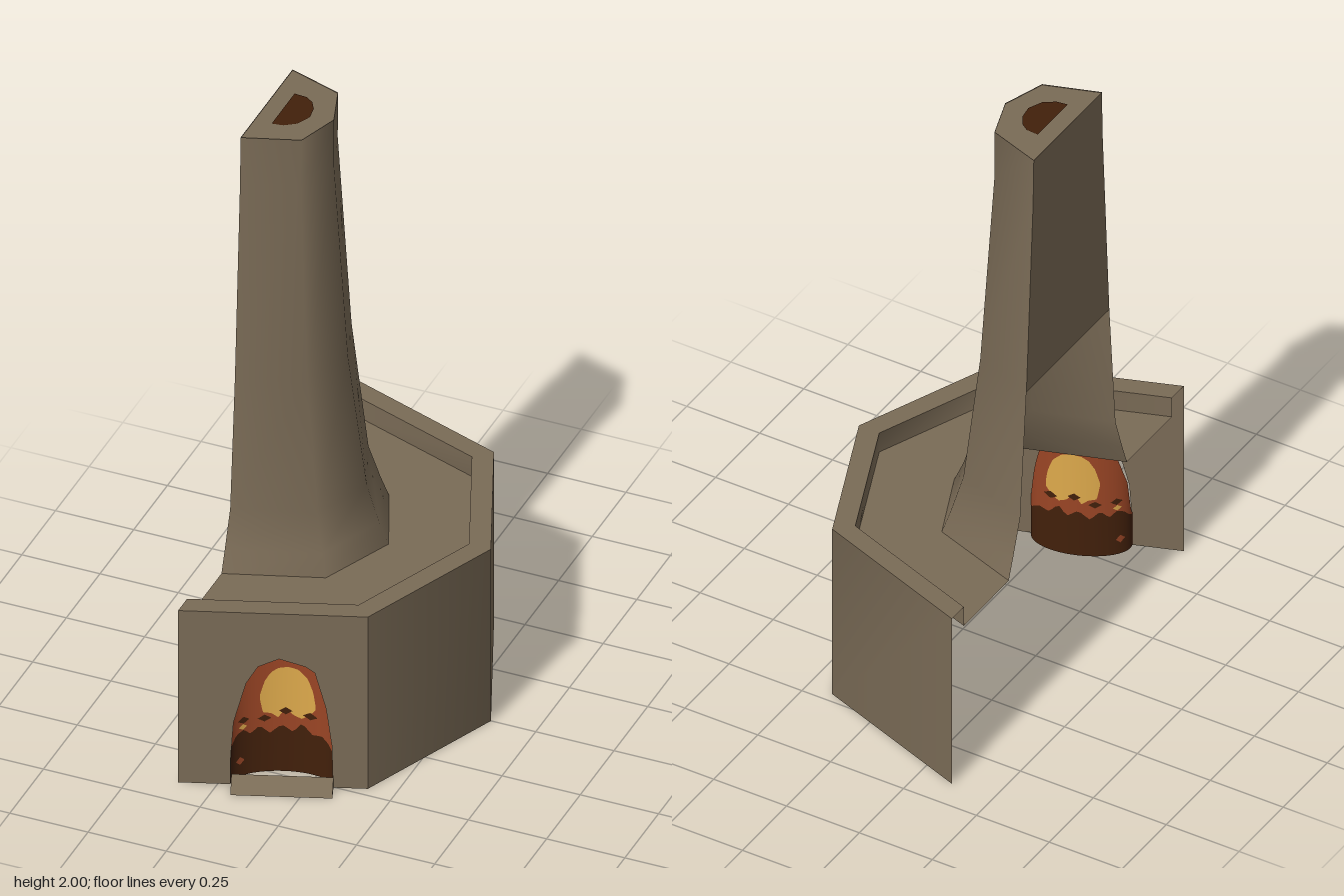
import * as THREE from 'three';

const mat = (name, color) => {
  const m = new THREE.MeshStandardMaterial({ color, side: THREE.DoubleSide });
  m.name = name;
  return m;
};

// Surface through open cross-sections, each an array of [x, y, z]
function loft(rings) {
  const n = rings[0].length, index = [];
  for (let r = 0; r < rings.length - 1; r++) {
    for (let i = 0; i < n - 1; i++) {
      const a = r * n + i, b = a + 1, c = a + n, d = c + 1;
      index.push(a, c, b, b, c, d);
    }
  }
  const g = new THREE.BufferGeometry();
  g.setAttribute('position', new THREE.Float32BufferAttribute(rings.flat(2), 3));
  g.setIndex(index);
  g.computeVertexNormals();
  return g;
}

const shape = pts => new THREE.Shape(pts.map(p => new THREE.Vector2(...p)));

// Height of a polyline of [u, y] points at u
function heightAt(line, u) {
  const i = Math.max(1, line.findIndex(p => p[0] >= u - 1e-6));
  const [a, b] = [line[i - 1], line[i]];
  return THREE.MathUtils.mapLinear(u, a[0], b[0], a[1], b[1]);
}

export function createModel() {
  const stone = mat('stone', 0x7a6b56);
  const char = mat('charred brown', 0x42200b);
  const rust = mat('rust red', 0x9a4525);
  const glow = mat('fire yellow', 0xdeaa4c);

  const model = new THREE.Group();
  const add = (parent, name, geometry, material) => {
    const m = new THREE.Mesh(geometry, material);
    m.name = name;
    parent.add(m);
    return m;
  };

  // Half-octagon section, running from the back edge round to the front edge
  const X = -0.36;
  const section = (y, edgeZ, midX, midZ, tipX) => [
    [X, y, -edgeZ], [midX, y, -midZ], [tipX, y, 0], [midX, y, midZ], [X, y, edgeZ]];
  const TOP = 0.61, FLOOR = 0.54;
  const outer = y => section(y, 0.657, 0.165, 0.468, 0.357);
  const inner = y => section(y, 0.59, 0.115, 0.42, 0.287);

  // Hearth body: side and back walls, rim, sunken top
  add(model, 'outerWall', loft([outer(0).slice(0, 4), outer(TOP).slice(0, 4)]), stone);
  add(model, 'rim', loft([outer(TOP), inner(TOP)]), stone);
  add(model, 'rimInside', loft([inner(TOP), inner(FLOOR)]), stone);

  // Chimney: height, tip reach, edge half-width
  const chimney = [
    [FLOOR, 0.39, 0.335], [0.61, 0.36, 0.31], [0.73, 0.32, 0.27],
    [1.17, 0.26, 0.235], [1.84, 0.215, 0.197], [2, 0.215, 0.193],
  ].map(([y, reach, edge], i) =>
    section(y, edge, X + reach * (0.745 + i * 0.009), edge * 0.7, X + reach));
  add(model, 'sunkenTop', loft([inner(FLOOR), chimney[0]]), stone);
  add(model, 'chimney', loft(chimney), stone);

  // Flat plate closing the back of the upper chimney
  add(model, 'chimneyBack', loft(chimney.slice(3).map(r => [r[4], r[0]])), stone);

  // Chimney cap with its sooty flue
  const cap = add(model, 'chimneyCap', new THREE.ShapeGeometry(
    shape(chimney[5].map(([x, , z]) => [x, -z]))), stone);
  cap.rotation.x = -Math.PI / 2;
  cap.position.y = 1.997;
  const flue = add(model, 'flue', new THREE.ShapeGeometry(shape([
    [-0.305, -0.09], [-0.27, -0.085], [-0.235, -0.06], [-0.215, -0.015],
    [-0.222, 0.03], [-0.24, 0.06], [-0.265, 0.077], [-0.305, 0.08]])), char);
  flue.rotation.x = -Math.PI / 2;
  flue.position.y = 2.0;

  // Front wall, drawn in its own slanted plane
  const front = new THREE.Group();
  front.name = 'front';
  front.position.set(X, 0, 0.657);
  front.rotation.y = Math.atan2(0.189, 0.525);
  model.add(front);
  add(front, 'frontWall', new THREE.ShapeGeometry(shape([
    [0, 0], [0.154, 0], [0.155, 0.1], [0.163, 0.22], [0.2, 0.36], [0.235, 0.42],
    [0.297, 0.45], [0.375, 0.425], [0.402, 0.405], [0.435, 0.28], [0.452, 0.15],
    [0.456, 0], [0.558, 0], [0.558, TOP], [0, TOP]])), stone);

  // Fire niche bowing inward behind the opening, its colours laid on both faces
  const bow = u => -0.08 * Math.sqrt(Math.max(0, 1 - ((u - 0.305) / 0.151) ** 2));
  const layer = (name, low, high, material, lift) => {
    const u0 = high[0][0], u1 = high[high.length - 1][0], N = 36;
    for (const side of lift ? [-1, 1] : [0]) {
      const columns = [];
      for (let i = 0; i <= N; i++) {
        // columns gather towards both ends, where the bow is steepest
        const u = u0 + (u1 - u0) * (0.5 - 0.5 * Math.cos(Math.PI * i / N));
        const w = bow(u) + side * lift;
        columns.push([[u, heightAt(high, u), w], [u, heightAt(low, u), w]]);
      }
      add(front, name, loft(columns), material);
    }
  };
  const level = y => [[0, y], [1, y]];
  layer('fireNiche', level(0), [
    [0.154, 0.12], [0.163, 0.25], [0.185, 0.34], [0.205, 0.395], [0.24, 0.425],
    [0.3, 0.435], [0.36, 0.43], [0.4, 0.41], [0.425, 0.34], [0.44, 0.27], [0.456, 0.14],
  ], rust, 0);
  layer('fireGlow', [
    [0.236, 0.26], [0.245, 0.21], [0.27, 0.205], [0.29, 0.19], [0.312, 0.225],
    [0.335, 0.2], [0.36, 0.19], [0.385, 0.21], [0.4, 0.23],
  ], [
    [0.236, 0.27], [0.25, 0.32], [0.268, 0.35], [0.29, 0.365], [0.32, 0.37],
    [0.35, 0.363], [0.378, 0.335], [0.394, 0.29], [0.4, 0.25],
  ], glow, 0.0015);
  layer('embers', level(0), [
    [0.154, 0.12], [0.17, 0.15], [0.19, 0.16], [0.21, 0.14], [0.235, 0.165],
    [0.265, 0.135], [0.3, 0.165], [0.335, 0.14], [0.36, 0.175], [0.39, 0.14],
    [0.42, 0.145], [0.44, 0.13], [0.456, 0.11],
  ], char, 0.0015);

  // Loose sparks: centre, half-width, half-height
  for (const [u, y, w, h, m] of [
    [0.312, 0.215, 0.02, 0.013, char], [0.385, 0.205, 0.022, 0.013, char],
    [0.25, 0.19, 0.02, 0.012, char], [0.19, 0.195, 0.016, 0.012, char],
    [0.188, 0.172, 0.012, 0.01, glow], [0.18, 0.055, 0.012, 0.014, rust],
  ]) {
    const edge = s => [[u - w, y], [u, y + s * h], [u + w, y]];
    layer('spark', edge(-1), edge(1), m, 0.003);
  }

  // Sloping doorstep wedge
  const step = new THREE.ExtrudeGeometry(shape([[0, 0], [0, 0.036], [-0.057, 0]]),
    { depth: 0.3, bevelEnabled: false });
  step.rotateY(Math.PI / 2);
  add(front, 'step', step, stone).position.x = 0.157;

  return model;
}
